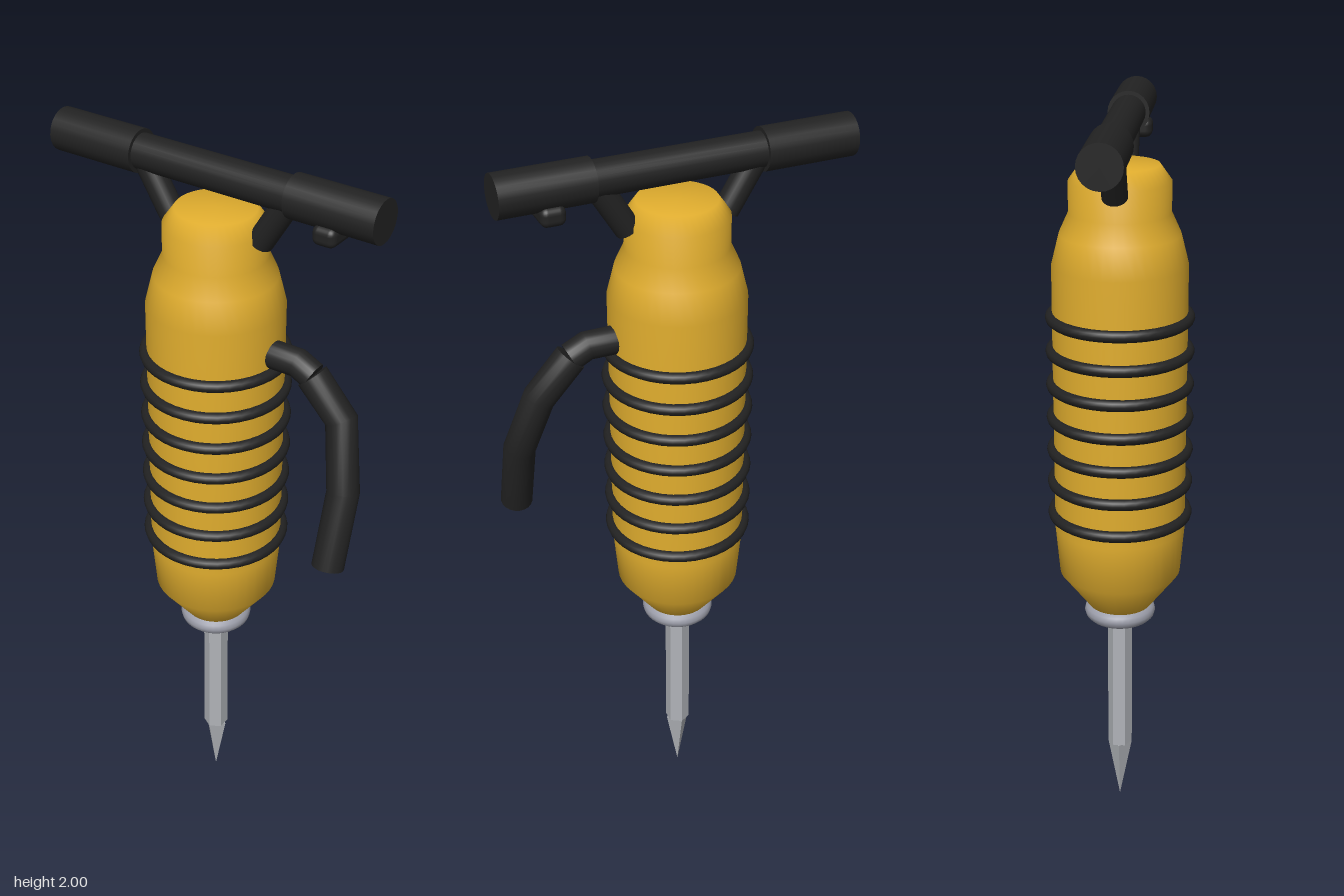
import * as THREE from 'three';
import { RoundedBoxGeometry } from 'three/addons/geometries/RoundedBoxGeometry.js';

const mat = (name, color, opts = {}) => {
  const m = new THREE.MeshStandardMaterial({ color, ...opts });
  m.name = name;
  return m;
};

// Straight-sided path: one tube ring per point, tilted to halve each bend.
class Polyline extends THREE.Curve {
  constructor(points) {
    super();
    this.points = points.map((p) => new THREE.Vector3(...p));
  }
  index(u) {
    return Math.round(u * (this.points.length - 1));
  }
  getPointAt(u, target = new THREE.Vector3()) {
    return target.copy(this.points[this.index(u)]);
  }
  getTangentAt(u, target = new THREE.Vector3()) {
    const p = this.points, i = this.index(u);
    target.set(0, 0, 0);
    if (i > 0) target.add(p[i].clone().sub(p[i - 1]).normalize());
    if (i < p.length - 1) target.add(p[i + 1].clone().sub(p[i]).normalize());
    return target.normalize();
  }
}

export function createModel() {
  const model = new THREE.Group();
  model.name = 'jackhammer';

  const yellow = mat('yellow paint', 0xe0ad2e);
  const rubber = mat('black rubber', 0x222222, { side: THREE.DoubleSide });
  const collarSteel = mat('collar steel', 0x9c9eaa);
  const steel = mat('chisel steel', 0xb0b3b8, { flatShading: true });

  const add = (name, geometry, material, x = 0, y = 0, z = 0, parent = model) => {
    const mesh = new THREE.Mesh(geometry, material);
    mesh.name = name;
    mesh.position.set(x, y, z);
    parent.add(mesh);
    return mesh;
  };

  // Cylinder running between two points
  const rod = (name, a, b, radius, material) => {
    const start = new THREE.Vector3(...a), end = new THREE.Vector3(...b);
    const dir = end.clone().sub(start);
    const mesh = add(name, new THREE.CylinderGeometry(radius, radius, dir.length(), 24), material);
    mesh.position.copy(start).add(end).multiplyScalar(0.5);
    mesh.quaternion.setFromUnitVectors(new THREE.Vector3(0, 1, 0), dir.normalize());
    return mesh;
  };

  // Bent pipe with a flat cap on both ends
  const pipe = (name, points, radius) => {
    const group = new THREE.Group();
    group.name = name;
    const path = new Polyline(points);
    add(name + 'Wall', new THREE.TubeGeometry(path, points.length - 1, radius, 20), rubber, 0, 0, 0, group);
    for (const u of [0, 1]) {
      const cap = add(name + 'Cap', new THREE.CircleGeometry(radius, 20), rubber, 0, 0, 0, group);
      cap.position.copy(path.getPointAt(u));
      const out = path.getTangentAt(u).multiplyScalar(u ? 1 : -1);
      cap.quaternion.setFromUnitVectors(new THREE.Vector3(0, 0, 1), out);
    }
    model.add(group);
  };

  // Body
  const profile = [
    [0, 0.582], [0.065, 0.582], [0.065, 0.61], [0.085, 0.63], [0.165, 0.735],
    [0.177, 0.87], [0.177, 1.6], [0.157, 1.68], [0.132, 1.735], [0.132, 1.815],
    [0.102, 1.857], [0, 1.857],
  ].map(([r, y]) => new THREE.Vector2(r, y));
  add('body', new THREE.LatheGeometry(profile, 40), yellow);

  // Rubber rings round the body
  for (let i = 0; i < 7; i++) {
    const ring = add('bodyRing', new THREE.TorusGeometry(0.18, 0.0155, 10, 40), rubber, 0, 0.91 + i * 0.0917);
    ring.rotation.x = Math.PI / 2;
  }

  // Chisel collar, shaft and point
  add('collar', new THREE.TorusGeometry(0.073, 0.025, 12, 36), collarSteel, 0, 0.61).rotation.x = Math.PI / 2;
  add('chiselShaft', new THREE.CylinderGeometry(0.034, 0.034, 0.43, 6), steel, 0, 0.395);
  const point = add('chiselPoint', new THREE.ConeGeometry(0.034, 0.18, 4), steel, 0, 0.09);
  point.rotation.x = Math.PI;

  // Handlebar with grips and struts on both sides
  const barY = 1.945;
  rod('handlebar', [-0.24, barY, 0], [0.24, barY, 0], 0.045, rubber);
  for (const s of [-1, 1]) {
    rod('grip', [s * 0.22, barY, 0], [s * 0.462, barY, 0], 0.055, rubber);
    rod('strut', [s * 0.13, 1.802, 0], [s * 0.205, 1.925, 0], 0.033, rubber);
  }

  // Trigger under the left grip
  add('trigger', new RoundedBoxGeometry(0.064, 0.05, 0.11, 3, 0.018), rubber, 0.33, 1.888);

  // Air hose: short elbow, then the hanging length
  pipe('hoseElbow', [[0.13, 1.505, 0], [0.245, 1.505, 0], [0.29, 1.482, 0]], 0.037);
  pipe('hose', [[0.288, 1.482, 0], [0.376, 1.386, 0], [0.42, 1.217, 0.05], [0.42, 1.018, 0.108]], 0.042);

  return model;
}
